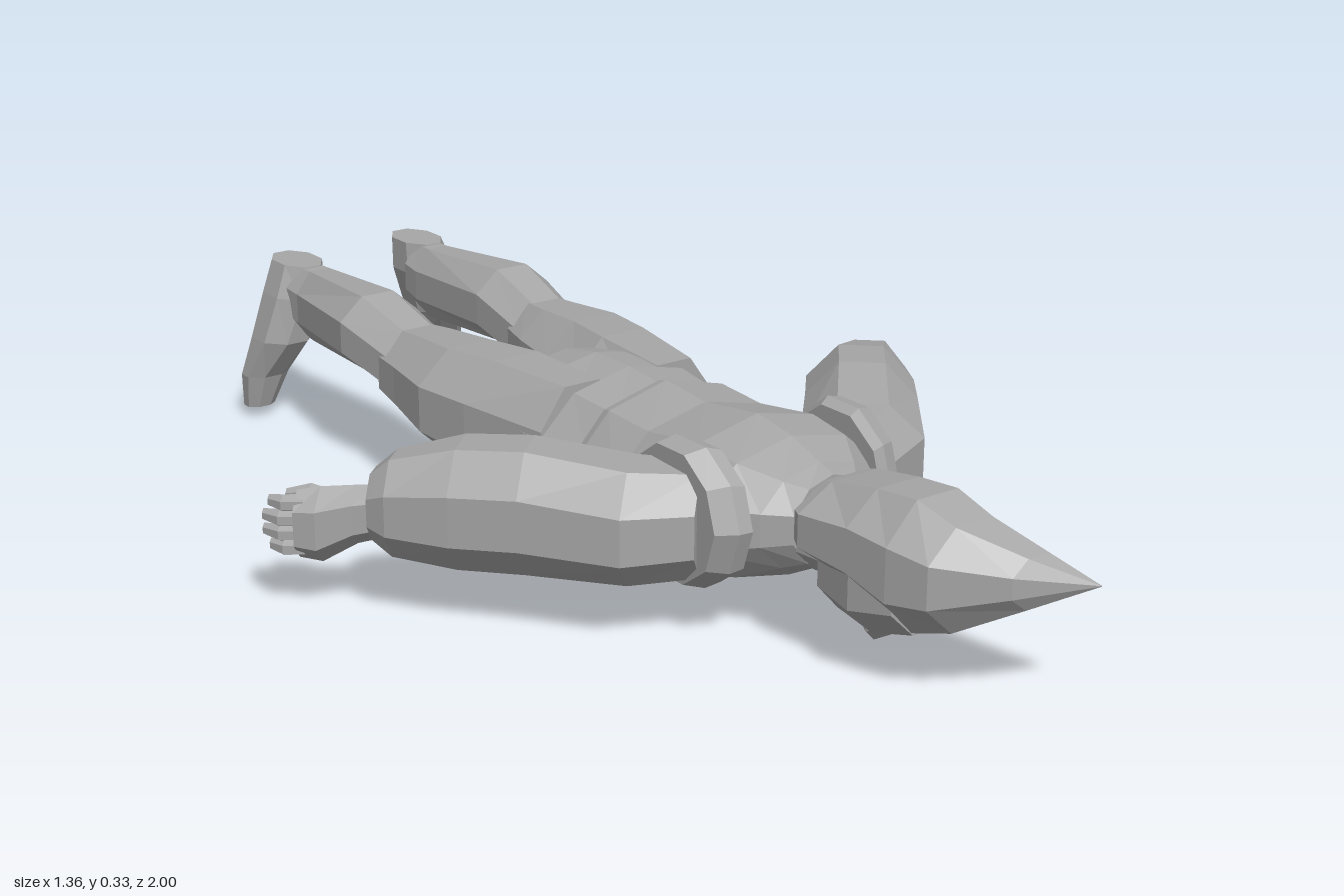
import * as THREE from 'three';

const grey = new THREE.MeshStandardMaterial({ color: 0xa6a6a6, flatShading: true });
grey.name = 'plain grey';

const X = new THREE.Vector3(1, 0, 0), Y = new THREE.Vector3(0, 1, 0), Z = new THREE.Vector3(0, 0, 1);

// Skin of a row of rings [x, y, z, halfU, halfV]; u cross v points along the row. side = -1 mirrors it.
function loft(name, rings, u, v, side = 1, n = 8) {
  const pos = [], index = [], k = 1 / Math.cos(Math.PI / n);
  for (const [x, y, z, a, b] of rings) {
    for (let i = 0; i < n; i++) {
      const t = (i + 0.5) / n * Math.PI * 2;
      const p = new THREE.Vector3(x, y, z)
        .addScaledVector(u, Math.cos(t) * a * k).addScaledVector(v, Math.sin(t) * b * k);
      pos.push(p.x * side, p.y, p.z);
    }
  }
  const tri = (a, b, c) => (side > 0 ? index.push(a, b, c) : index.push(a, c, b));
  const last = (rings.length - 1) * n;
  for (let r = 0; r < last; r += n) {
    for (let i = 0; i < n; i++) {
      const j = (i + 1) % n;
      tri(r + i, r + j, r + n + j);
      tri(r + i, r + n + j, r + n + i);
    }
  }
  for (let i = 1; i < n - 1; i++) {
    tri(0, i + 1, i);
    tri(last, last + i, last + i + 1);
  }
  const g = new THREE.BufferGeometry();
  g.setAttribute('position', new THREE.Float32BufferAttribute(pos, 3));
  g.setIndex(index);
  const flat = g.toNonIndexed();
  flat.computeVertexNormals();
  const mesh = new THREE.Mesh(flat, grey);
  mesh.name = name;
  return mesh;
}

// Ring across the body: centre x, z, half width, lowest y, highest y
const span = (x, z, w, lo, hi) => [x, (lo + hi) / 2, z, w, (hi - lo) / 2];

export function createModel() {
  const model = new THREE.Group();
  model.name = 'lyingFigure';

  // Hips, jacket and neck
  model.add(loft('hips', [
    span(0, -0.19, 0.17, 0.11, 0.29), span(0, -0.1, 0.21, 0.06, 0.305),
    span(0, 0, 0.19, 0.035, 0.305), span(0, 0.12, 0.175, 0.025, 0.295),
  ], X, Y, 1, 10));
  model.add(loft('jacket', [
    span(0, 0.09, 0.19, 0.005, 0.303), span(0, 0.11, 0.197, 0, 0.308),
    span(0, 0.22, 0.195, 0.025, 0.3), span(0, 0.36, 0.195, 0.05, 0.32),
    span(0, 0.45, 0.185, 0.075, 0.308), span(0, 0.52, 0.12, 0.11, 0.285),
    span(0, 0.555, 0.08, 0.125, 0.275),
  ], X, Y, 1, 10));
  model.add(loft('neck', [
    span(0, 0.5, 0.08, 0.12, 0.27), span(0, 0.62, 0.065, 0.12, 0.26),
  ], X, Y));

  // Face, nose and swept pointed hair
  model.add(loft('face', [
    span(0, 0.575, 0.045, 0.1, 0.22), span(0, 0.61, 0.075, 0.075, 0.24),
    span(0, 0.7, 0.09, 0.065, 0.24), span(0.01, 0.78, 0.08, 0.085, 0.24),
  ], X, Y));
  model.add(loft('nose', [
    span(0, 0.635, 0.012, 0.06, 0.1), span(0, 0.665, 0.018, 0.035, 0.1), span(0, 0.72, 0.008, 0.065, 0.1),
  ], X, Y, 1, 6));
  model.add(loft('hair', [
    span(0.005, 0.58, 0.105, 0.165, 0.285), span(0.007, 0.6, 0.117, 0.155, 0.29),
    span(0.008, 0.7, 0.105, 0.13, 0.308), span(0.017, 0.78, 0.103, 0.09, 0.312),
    span(0.03, 0.85, 0.093, 0.11, 0.285), span(0.085, 0.935, 0.053, 0.16, 0.245),
    span(0.155, 1, 0.001, 0.199, 0.201),
  ], X, Y));

  const along = new THREE.Vector3(0.68, 0, -0.73);
  const across = new THREE.Vector3().crossVectors(Y, along);
  for (const [side, label] of [[1, 'left'], [-1, 'right']]) {
    // Leg: calf with the trouser knee overlapping it
    model.add(loft(label + 'Calf', [
      span(0.14, -0.9, 0.05, 0.18, 0.31), span(0.137, -0.85, 0.053, 0.168, 0.31),
      span(0.153, -0.6, 0.083, 0.18, 0.325), span(0.145, -0.46, 0.073, 0.15, 0.285),
    ], X, Y, side));
    model.add(loft(label + 'Thigh', [
      span(0.145, -0.49, 0.076, 0.135, 0.287), span(0.14, -0.42, 0.09, 0.12, 0.292),
      span(0.139, -0.3, 0.111, 0.095, 0.3), span(0.118, -0.18, 0.113, 0.075, 0.305),
      span(0.1, 0, 0.088, 0.05, 0.3),
    ], X, Y, side));

    // Foot: flat sole at the back, toe pointing down and outward
    model.add(loft(label + 'Foot', [
      [0.218, 0.012, -0.977, 0.023, 0.03], [0.207, 0.08, -0.966, 0.034, 0.046],
      [0.18, 0.16, -0.937, 0.063, 0.055], [0.152, 0.25, -0.93, 0.07, 0.055],
      [0.14, 0.313, -0.935, 0.065, 0.042],
    ], Z, X, side));

    // Armhole band and padded sleeve
    model.add(loft(label + 'Armhole', [
      [0.135, 0.2, 0.4, 0.115, 0.115], [0.16, 0.2, 0.39, 0.122, 0.122], [0.195, 0.2, 0.38, 0.112, 0.112],
    ], Y, Z, side, 10));
    model.add(loft(label + 'Sleeve', [
      [0.15, 0.19, 0.41, 0.085, 0.09], [0.245, 0.19, 0.345, 0.107, 0.098],
      [0.355, 0.2, 0.215, 0.1, 0.107], [0.43, 0.195, 0.125, 0.098, 0.105],
      [0.515, 0.19, 0.053, 0.068, 0.085], [0.54, 0.187, 0.028, 0.048, 0.058],
    ], across, Y, side));

    // Hand: upright palm, bent fingers and a thumb
    model.add(loft(label + 'Palm', [
      [0.52, 0.175, 0.045, 0.027, 0.04], [0.56, 0.165, 0.005, 0.032, 0.045],
      [0.605, 0.145, -0.035, 0.038, 0.058], [0.635, 0.145, -0.06, 0.03, 0.052],
    ], across, Y, side, 6));
    for (let i = 0; i < 4; i++) {
      const y = 0.105 + i * 0.026, reach = i === 0 || i === 3 ? 0.85 : 1;
      model.add(loft(label + 'Finger' + (i + 1), [
        [0.625, y, -0.05, 0.018, 0.013], [0.625 + 0.036 * reach, y, -0.05 - 0.024 * reach, 0.016, 0.013],
        [0.625 + 0.05 * reach, y, -0.05 - 0.055 * reach, 0.009, 0.009],
      ], across, Y, side, 6));
    }
    model.add(loft(label + 'Thumb', [
      [0.585, 0.18, -0.03, 0.018, 0.02], [0.605, 0.19, -0.065, 0.016, 0.016],
      [0.635, 0.185, -0.095, 0.009, 0.01],
    ], across, Y, side, 6));
  }
  return model;
}
